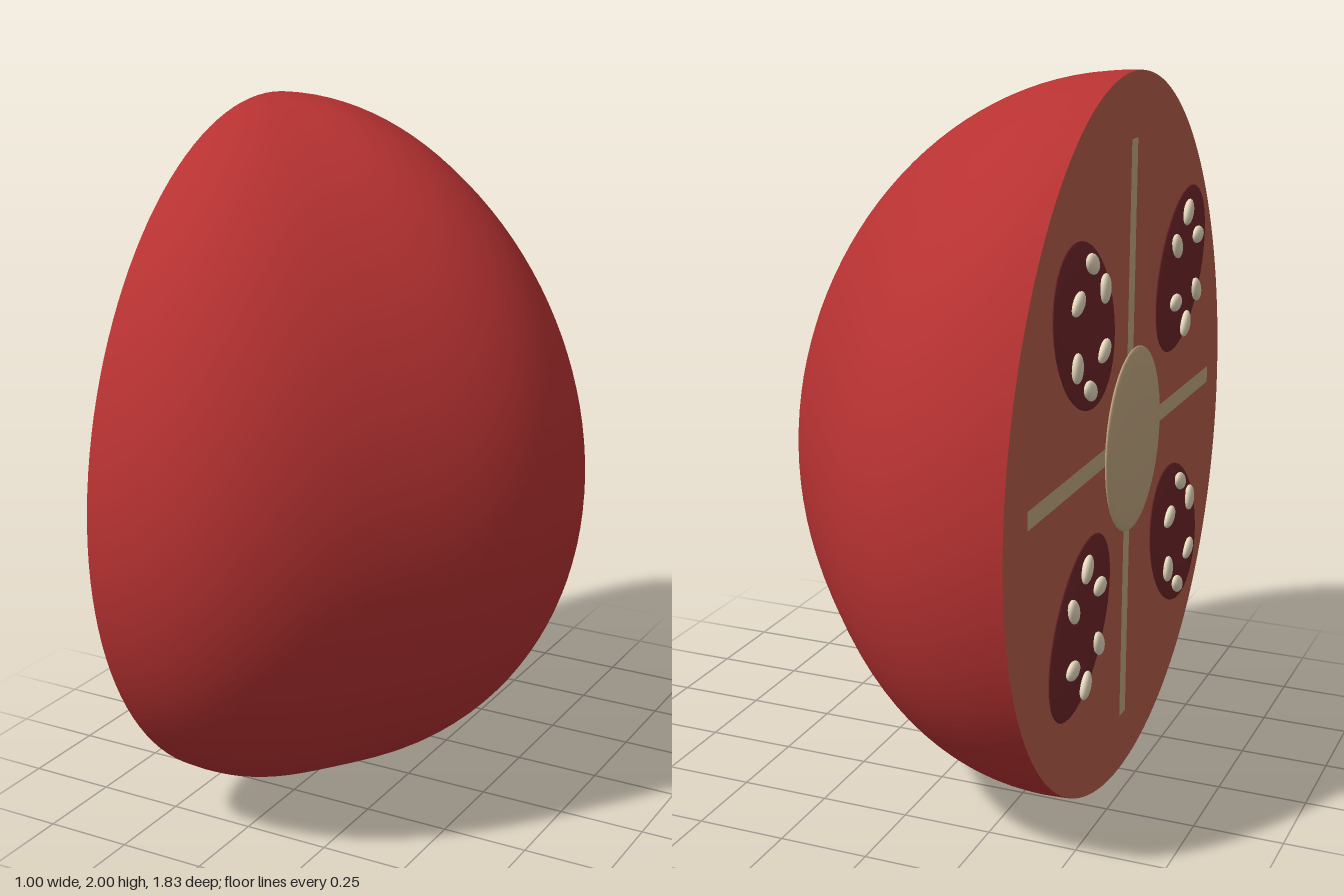
import * as THREE from 'three';

const mat = (name, color, side = THREE.FrontSide) => {
  const m = new THREE.MeshStandardMaterial({ color, side });
  m.name = name;
  return m;
};

const RADIUS = 0.9, LOBE = 0.035, EGG = 0.06, CUT_X = -0.45;

// Ring radius at height t (-1 bottom .. 1 top): round, slightly narrower at the top
const ring = (t) => RADIUS * Math.sqrt(Math.max(0, 1 - t * t)) * (1 - EGG * t);

export function createModel() {
  const skin = mat('red skin', 0xb83232);
  const flesh = mat('flesh', 0xb45d49);
  const pale = mat('pale core', 0xc3a882, THREE.DoubleSide);
  const gel = mat('dark gel', 0x6e2529);
  const seedMat = mat('seed cream', 0xe8dcc0);

  const model = new THREE.Group();
  model.name = 'halvedFruit';

  const add = (parent, name, geometry, material) => {
    const mesh = new THREE.Mesh(geometry, material);
    mesh.name = name;
    parent.add(mesh);
    return mesh;
  };

  // Skin: half sphere with five soft lobes around the vertical axis
  const shell = new THREE.SphereGeometry(1, 80, 64, Math.PI / 2, Math.PI);
  const p = shell.attributes.position;
  for (let i = 0; i < p.count; i++) {
    const t = p.getY(i);
    const a = Math.atan2(p.getZ(i), p.getX(i));
    const r = ring(t) * (1 + LOBE * Math.cos(5 * a));
    p.setXYZ(i, CUT_X + 1.018 * r * Math.cos(a), 1 + t, r * Math.sin(a));
  }
  shell.computeVertexNormals();
  for (let i = 0; i < p.count; i++) {
    const t = p.getY(i) - 1;
    if (Math.abs(t) > 0.99999) shell.attributes.normal.setXYZ(i, 0, Math.sign(t), 0);
  }
  add(model, 'skin', shell, skin);

  // Cut side: built facing local +z, then turned to face -x
  const cut = new THREE.Group();
  cut.name = 'cutSide';
  cut.position.set(CUT_X, 1, 0);
  cut.rotation.y = -Math.PI / 2;
  model.add(cut);

  const outline = [];
  for (let i = 0; i < 128; i++) {
    const a = (i / 128) * Math.PI * 2;
    const t = Math.sin(a);
    outline.push(new THREE.Vector2(Math.sign(Math.cos(a)) * ring(t), t));
  }
  add(cut, 'cutFace', new THREE.ShapeGeometry(new THREE.Shape(outline)), flesh);

  // Pale walls crossing the cut face
  add(cut, 'verticalWall', new THREE.PlaneGeometry(0.05, 1.65), pale).position.z = 0.006;
  add(cut, 'horizontalWall', new THREE.PlaneGeometry(1.52, 0.05), pale).position.z = 0.007;

  // Flattened ellipsoid helper
  const blob = new THREE.SphereGeometry(1, 40, 20);
  const seedBlob = new THREE.SphereGeometry(1, 16, 12);
  const lens = (name, geometry, material, pos, size, turn = 0) => {
    const mesh = add(cut, name, geometry, material);
    mesh.position.set(...pos);
    mesh.scale.set(...size);
    mesh.rotation.z = turn;
  };

  lens('core', blob, pale, [0, 0, 0.02], [0.23, 0.26, 0.02]);

  // Four gel chambers on the diagonals, each with six seeds
  for (let g = 0; g < 4; g++) {
    const quarter = (g * Math.PI) / 2;
    const diagonal = quarter + Math.PI / 4;
    const cx = 0.575 * Math.cos(diagonal), cy = 0.57 * Math.sin(diagonal);
    lens('gelChamber', blob, gel, [cx, cy, 0.019], [0.263, 0.19, 0.015], diagonal);
    for (let k = 0; k < 6; k++) {
      const a = Math.PI / 6 + (k * Math.PI) / 3;
      lens('seed', seedBlob, seedMat,
        [cx + 0.115 * Math.cos(a), cy + 0.163 * Math.sin(a), 0.037],
        [0.04, 0.025, 0.014], (k * Math.PI) / 3 + quarter);
    }
  }
  return model;
}
